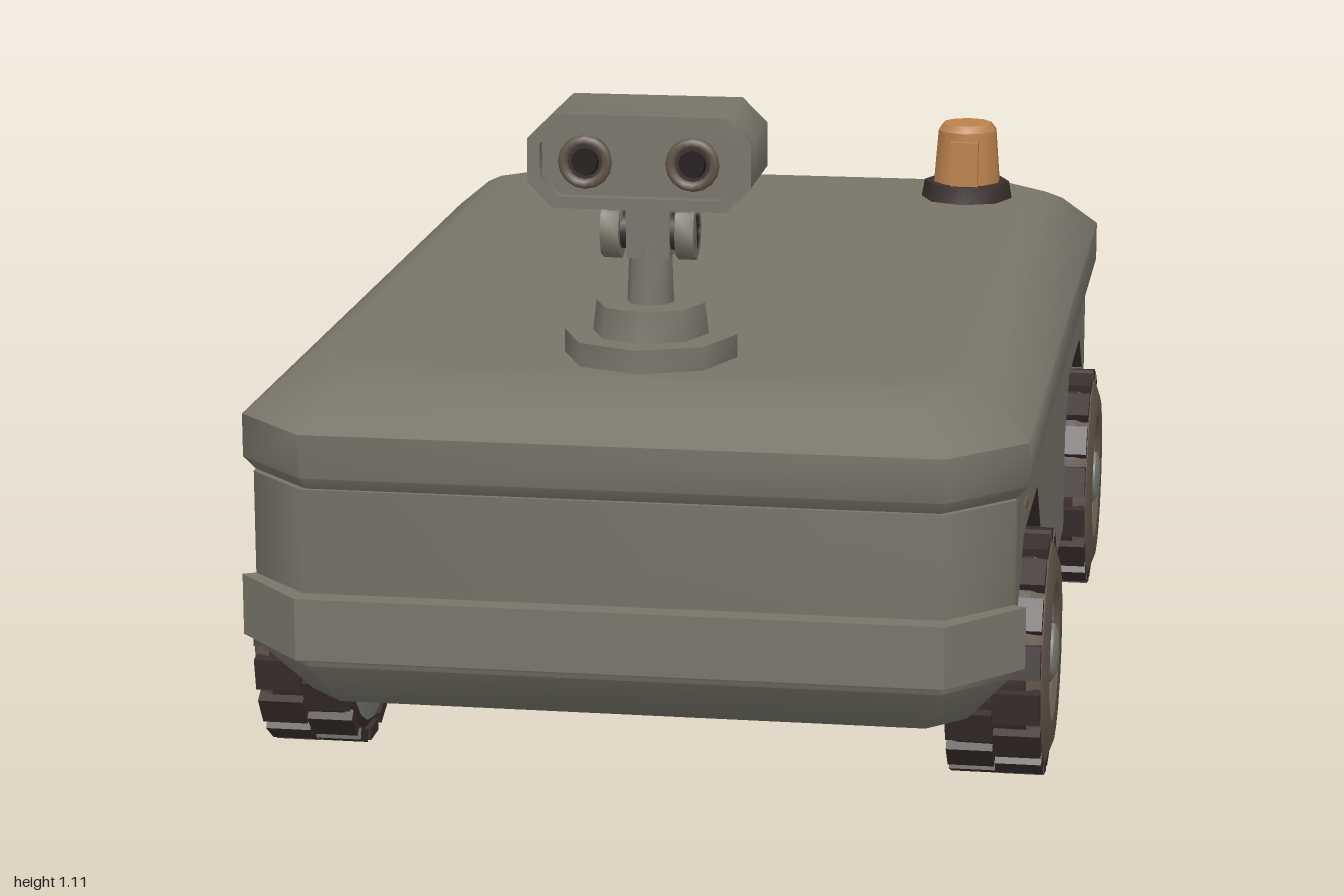
import * as THREE from 'three';
import { toCreasedNormals } from 'three/addons/utils/BufferGeometryUtils.js';

const mat = (name, color) => Object.assign(new THREE.MeshStandardMaterial({ color }), { name });

export function createModel() {
  const paint = mat('grey paint', 0x78756a);
  const metal = mat('hub metal', 0x7d7d75);
  const dark = mat('dark rubber', 0x3a2f2e);
  const brown = mat('tyre brown', 0x64574b);
  const amber = mat('amber', 0xba814d);
  const lens = mat('lens black', 0x211a19);

  const root = new THREE.Group();
  const add = (name, geo, material, x = 0, y = 0, z = 0, parent = root) => {
    const m = new THREE.Mesh(geo, material);
    m.name = name;
    m.position.set(x, y, z);
    parent.add(m);
    return m;
  };
  const poly = (pts) => new THREE.Shape(pts.map(([x, y]) => new THREE.Vector2(x, y)));
  const extrude = (shape, depth) => new THREE.ExtrudeGeometry(shape, { depth, bevelEnabled: false });
  const cyl = (rt, rb, h, n) => toCreasedNormals(new THREE.CylinderGeometry(rt, rb, h, n), 0.9);

  // stack of chamfered rectangles: [y, half width, front z, back z, front chamfer, back chamfer]
  const loft = (rings) => {
    const pos = [], idx = [];
    for (const [y, w, f, b, cf, cb] of rings) {
      for (const [x, z] of [[w, f - cf], [w - cf, f], [cf - w, f], [-w, f - cf],
        [-w, b + cb], [cb - w, b], [w - cb, b], [w, b + cb]]) pos.push(x, y, z);
    }
    for (let r = 0; r < rings.length - 1; r++) {
      for (let i = 0; i < 8; i++) {
        const a = r * 8 + i, b = r * 8 + (i + 1) % 8;
        idx.push(a, a + 8, b, b, a + 8, b + 8);
      }
    }
    const top = (rings.length - 1) * 8;
    for (let i = 1; i < 7; i++) idx.push(0, i, i + 1, top, top + i + 1, top + i);
    const g = new THREE.BufferGeometry();
    g.setAttribute('position', new THREE.Float32BufferAttribute(pos, 3));
    g.setIndex(idx);
    return toCreasedNormals(g, 0.9);
  };

  // hull
  add('hullCore', new THREE.BoxGeometry(0.92, 0.375, 1.6), paint, 0, 0.3525, 0);
  add('nose', loft([
    [0.165, 0.53, 0.865, 0.77, 0.06, 0.001],
    [0.25, 0.6, 0.955, 0.77, 0.1, 0.001],
    [0.29, 0.605, 0.96, 0.77, 0.1, 0.001],
    [0.54, 0.605, 0.96, 0.77, 0.1, 0.001],
  ]), paint);
  add('tail', loft([
    [0.165, 0.55, -0.79, -0.94, 0.001, 0.08],
    [0.25, 0.605, -0.79, -0.955, 0.001, 0.1],
    [0.54, 0.605, -0.79, -0.955, 0.001, 0.1],
  ]), paint);
  add('lid', loft([
    [0.53, 0.595, 0.945, -0.945, 0.1, 0.1],
    [0.56, 0.625, 0.968, -0.968, 0.12, 0.12],
    [0.63, 0.625, 0.968, -0.968, 0.12, 0.12],
    [0.685, 0.56, 0.88, -0.91, 0.1, 0.1],
    [0.702, 0.53, 0.82, -0.87, 0.09, 0.09],
    [0.702, 0.5, 0.79, -0.84, 0.09, 0.09],
  ]), paint);

  // side panels with wheel arches, dark inside the arches
  const archTop = [[0.78, 0.34], [0.67, 0.435], [0.38, 0.435], [0.29, 0.34], [0.29, 0.165]];
  const panelShape = poly([[-0.8, 0.54], ...archTop.map(([z, y]) => [-z - 0.03, y]),
    ...archTop.slice().reverse(), [0.78, 0.54]]);
  const panelGeo = extrude(panelShape, 0.15).rotateY(-Math.PI / 2);
  const archShape = poly([[0.78, 0.165], ...archTop]);
  const linerGeo = extrude(archShape, 0.02).rotateY(-Math.PI / 2);
  for (const s of [1, -1]) {
    add('sidePanel', panelGeo, [paint, dark], s > 0 ? 0.605 : -0.455);
    add('frontArchLiner', linerGeo, dark, s > 0 ? 0.475 : -0.455);
    add('rearArchLiner', linerGeo, dark, s > 0 ? 0.475 : -0.455, 0, -1.08);
  }

  // bumpers, drawn in plan and extruded downward
  const bumper = (name, pts, top, h) =>
    add(name, extrude(poly(pts), h).rotateX(Math.PI / 2), paint, 0, top, 0);
  bumper('frontBumper', [[-0.625, 0.87], [-0.51, 0.995], [0.51, 0.995], [0.625, 0.87],
    [0.585, 0.85], [0.49, 0.945], [-0.49, 0.945], [-0.585, 0.85]], 0.372, 0.1);
  bumper('rearBumperLong', [[-0.605, -0.925], [-0.53, -1], [0.04, -1], [0.06, -0.98],
    [0.06, -0.94], [-0.5, -0.94], [-0.575, -0.87]], 0.365, 0.085);
  bumper('rearBumperShort', [[0.585, -0.93], [0.51, -1], [0.36, -1], [0.34, -0.98],
    [0.34, -0.94], [0.5, -0.94], [0.56, -0.88]], 0.365, 0.085);
  add('lowerTrim', new THREE.BoxGeometry(1.0, 0.012, 0.01), brown, 0, 0.265, 0.957);

  // small slots
  add('sideSlot', new THREE.BoxGeometry(0.008, 0.01, 0.05), brown, 0.606, 0.485, 0.68);
  add('rearSlot', new THREE.BoxGeometry(0.1, 0.01, 0.008), brown, -0.43, 0.44, -0.956);

  // exhaust
  add('exhaustBox', loft([
    [0.132, 0.1, -0.76, -0.87, 0.01, 0.01],
    [0.17, 0.135, -0.73, -0.89, 0.01, 0.01],
  ]), paint, 0.205);
  add('exhaustPipe', cyl(0.045, 0.045, 0.16, 10).rotateX(Math.PI / 2), metal, 0.2, 0.185, -0.89);

  // wheels, built with the outer side on +x
  const lathe = (pts, n) => toCreasedNormals(new THREE.LatheGeometry(
    pts.map(([r, x]) => new THREE.Vector2(r, x)), n).rotateZ(-Math.PI / 2), 0.7);
  const tyreGeo = lathe([[0.165, -0.08], [0.188, -0.065], [0.19, 0.05]], 20);
  const wallGeo = lathe([[0.19, 0.05], [0.178, 0.074], [0.15, 0.084], [0.115, 0.082], [0.1, 0.06]], 20);
  const hubGeo = lathe([[0.102, 0.06], [0.098, 0.074], [0.085, 0.068], [0.05, 0.062],
    [0.045, 0.082], [0.03, 0.088], [0, 0.088]], 20);
  const innerGeo = lathe([[0, -0.09], [0.1, -0.089], [0.165, -0.08]], 20);
  const lugGeo = new THREE.BoxGeometry(0.075, 0.02, 0.055);
  const boltGeo = new THREE.CylinderGeometry(0.008, 0.008, 0.012, 6).rotateZ(Math.PI / 2);
  const wheel = (name, side, z) => {
    const g = new THREE.Group();
    g.name = name;
    g.position.set(side * 0.568, 0.204, z);
    if (side < 0) g.rotation.y = Math.PI;
    root.add(g);
    add('tread', tyreGeo, dark, 0, 0, 0, g);
    add('sidewall', wallGeo, brown, 0, 0, 0, g);
    add('hub', hubGeo, metal, 0, 0, 0, g);
    add('innerDisc', innerGeo, metal, 0, 0, 0, g);
    for (let i = 0; i < 32; i++) {
      const a = i * Math.PI / 16;
      const lug = add('treadLug', lugGeo, dark, i % 2 ? 0.035 : -0.042,
        Math.cos(a) * 0.19, Math.sin(a) * 0.19, g);
      lug.rotation.x = a;
    }
    for (let i = 0; i < 5; i++) {
      const a = i * Math.PI * 0.4;
      add('wheelBolt', boltGeo, dark, 0.068, Math.cos(a) * 0.07, Math.sin(a) * 0.07, g);
    }
  };
  for (const s of [1, -1]) {
    wheel('frontWheel', s, 0.555);
    wheel('rearWheel', s, -0.555);
  }

  // camera mast
  const mz = 0.65;
  add('mastBase', cyl(0.14, 0.14, 0.04, 8), paint, 0, 0.72, mz);
  add('mastCollar', cyl(0.088, 0.094, 0.05, 8), paint, 0, 0.765, mz);
  add('mastPost', cyl(0.034, 0.038, 0.1, 8), paint, 0, 0.835, mz);
  add('mastNeck', new THREE.BoxGeometry(0.07, 0.09, 0.06), paint, 0, 0.91, mz);
  add('tiltAxle', cyl(0.03, 0.03, 0.15, 10).rotateZ(Math.PI / 2), dark, 0, 0.905, mz);
  for (const s of [1, -1]) {
    add('tiltBracket', cyl(0.046, 0.046, 0.03, 8).rotateZ(Math.PI / 2), paint, s * 0.06, 0.905, mz);
    add('bracketArm', new THREE.BoxGeometry(0.025, 0.06, 0.05), paint, s * 0.055, 0.945, mz);
  }

  // camera head: shell with a recessed face
  const octagon = (w, h, c) => [[w, c - h], [w, h - c], [w - c, h], [c - w, h],
    [-w, h - c], [-w, c - h], [c - w, -h], [w - c, -h]];
  const rim = poly(octagon(0.177, 0.075, 0.04));
  rim.holes.push(new THREE.Path(octagon(0.157, 0.057, 0.03).map(([x, y]) => new THREE.Vector2(x, y))));
  add('headShell', toCreasedNormals(extrude(poly(octagon(0.177, 0.075, 0.04)), 0.17), 0.9), paint, 0, 1.035, 0.572);
  add('headRim', toCreasedNormals(extrude(rim, 0.022), 0.9), paint, 0, 1.035, 0.742);
  for (const s of [1, -1]) {
    add('eyeRing', new THREE.TorusGeometry(0.035, 0.008, 6, 16), brown, s * 0.085, 1.035, 0.764);
    add('eyeBarrel', cyl(0.038, 0.038, 0.024, 16).rotateX(Math.PI / 2), dark, s * 0.085, 1.035, 0.75);
    add('eyeLens', cyl(0.02, 0.022, 0.008, 12).rotateX(Math.PI / 2), lens, s * 0.085, 1.035, 0.766);
  }

  // warning beacon
  const bx = 0.385, bz = -0.71;
  add('beaconBase', cyl(0.08, 0.086, 0.034, 8), dark, bx, 0.717, bz);
  add('beaconLamp', cyl(0.056, 0.064, 0.1, 10), amber, bx, 0.782, bz);
  add('beaconCap', cyl(0.046, 0.056, 0.013, 10), amber, bx, 0.8385, bz);
  add('beaconRib', new THREE.BoxGeometry(0.052, 0.085, 0.03), amber, bx, 0.775, bz + 0.054);

  return root;
}
